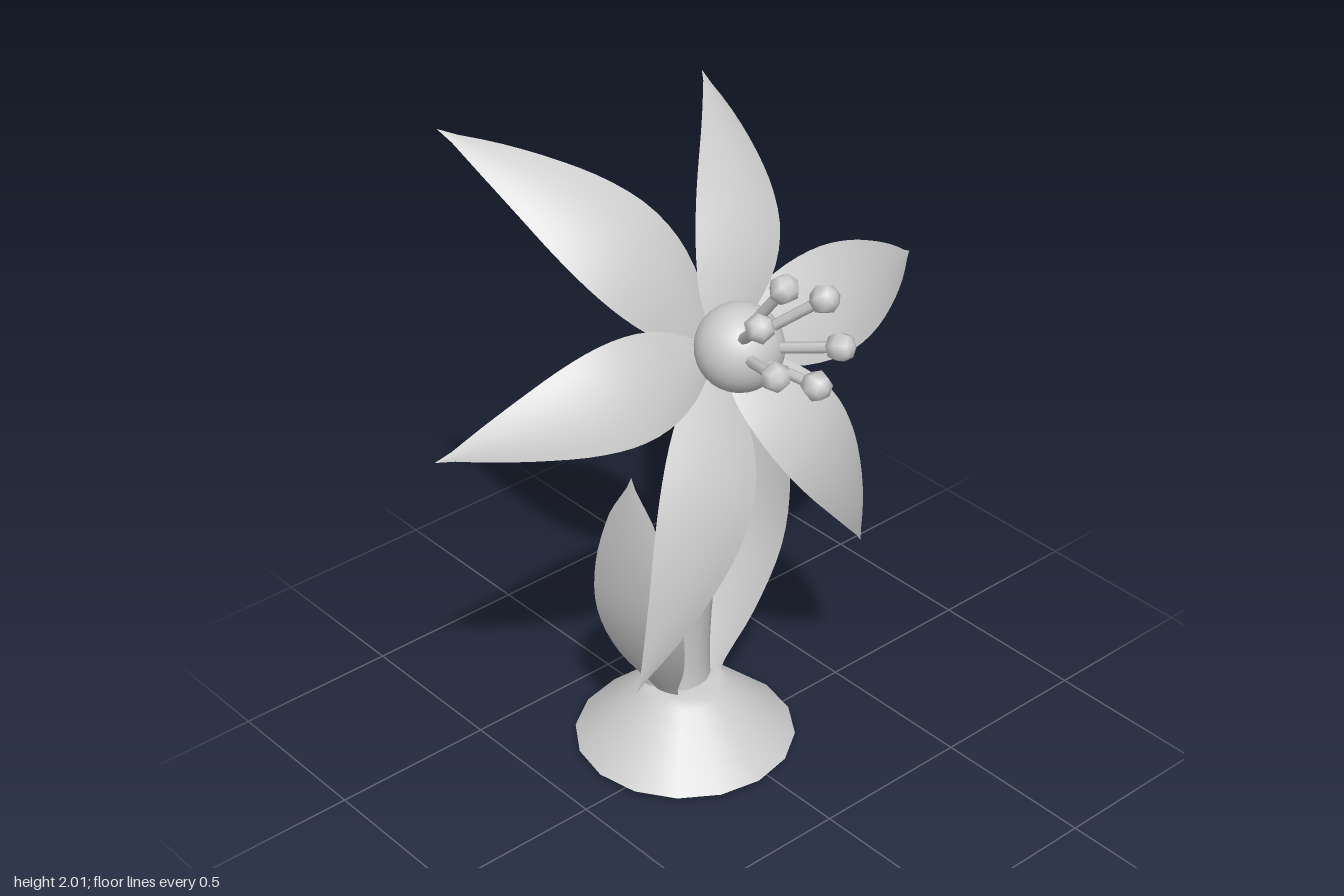
import * as THREE from 'three';

const V = (x, y, z) => new THREE.Vector3(x, y, z);

// Curved blade: mid-line points, half-widths along it, direction of its width, and how far the edges fold
function blade(mid, halfWidths, across, fold, rows = 20, cols = 8) {
  const path = new THREE.CatmullRomCurve3(mid);
  const width = new THREE.SplineCurve(halfWidths.map((w, i) => new THREE.Vector2(i, w)));
  const pos = [], idx = [];
  for (let i = 0; i <= rows; i++) {
    const t = i / rows, c = path.getPoint(t), w = Math.max(0, width.getPoint(t).y);
    for (let j = 0; j <= cols; j++) {
      const s = (j / cols) * 2 - 1;
      const p = c.clone().addScaledVector(across, s * w)
        .addScaledVector(fold, s * s * w);
      pos.push(p.x, p.y, p.z);
      if (i < rows && j < cols) {
        const a = i * (cols + 1) + j, b = a + cols + 1;
        idx.push(a, b, a + 1, b, b + 1, a + 1);
      }
    }
  }
  const g = new THREE.BufferGeometry();
  g.setAttribute('position', new THREE.Float32BufferAttribute(pos, 3));
  g.setIndex(idx);
  g.computeVertexNormals();
  return g;
}

export function createModel() {
  const root = new THREE.Group();
  root.name = 'flower';
  const grey = new THREE.MeshStandardMaterial({ color: 0xcccccc, side: THREE.DoubleSide });
  grey.name = 'plain grey';
  const add = (parent, name, geometry) => {
    const m = new THREE.Mesh(geometry, grey);
    m.name = name;
    parent.add(m);
    return m;
  };

  // Base mound, with a separate flat underside
  const moundProfile = [[0.33, 0.027], [0.265, 0.086], [0.195, 0.15], [0.135, 0.2], [0.107, 0.221], [0, 0.223]]
    .map(([r, y]) => new THREE.Vector2(r, y));
  add(root, 'baseMound', new THREE.LatheGeometry(moundProfile, 16)).position.set(-0.0715, 0, 0.056);
  const under = add(root, 'baseUnderside', new THREE.CircleGeometry(0.33, 16));
  under.rotation.x = Math.PI / 2;
  under.position.set(-0.0715, 0.027, 0.056);

  // Tapering curved stem with end caps
  const stemPath = new THREE.CatmullRomCurve3([
    V(-0.075, 0.025, 0.055), V(-0.113, 0.2, 0.055), V(-0.105, 0.42, 0.055), V(-0.058, 0.7, 0.055),
    V(0.035, 1.0, 0.055), V(0.06, 1.2, 0.055), V(0.056, 1.365, 0.055)]);
  const stemRadius = (t) => 0.108 - 0.021 * Math.min(1, t * 1.3);
  const rings = 28, sides = 16;
  const stem = new THREE.TubeGeometry(stemPath, rings, 1, sides);
  const p = stem.attributes.position, v = V(0, 0, 0);
  for (let i = 0; i < p.count; i++) {
    const t = Math.floor(i / (sides + 1)) / rings, c = stemPath.getPointAt(t);
    v.fromBufferAttribute(p, i).sub(c).multiplyScalar(stemRadius(t)).add(c);
    p.setXYZ(i, v.x, v.y, v.z);
  }
  add(root, 'stem', stem);
  for (const t of [0, 1]) {
    const cap = add(root, t ? 'stemTopCap' : 'stemBottomCap', new THREE.CircleGeometry(stemRadius(t), sides));
    const dir = stemPath.getTangentAt(t).multiplyScalar(t ? 1 : -1);
    cap.quaternion.setFromUnitVectors(V(0, 0, 1), dir);
    cap.position.copy(stemPath.getPointAt(t));
  }

  // Two leaves rising from the mound
  const leafWidths = [0.03, 0.105, 0.138, 0.122, 0.068, 0];
  const across = (yaw) => V(Math.cos(yaw), 0, -Math.sin(yaw));
  add(root, 'frontLeaf', blade([
    V(-0.05, 0.21, 0.14), V(-0.005, 0.4, 0.25), V(0.039, 0.6, 0.33),
    V(0.067, 0.8, 0.37), V(0.085, 1.0, 0.387), V(0.1, 1.15, 0.39),
  ], leafWidths, across(0.38), V(-0.05, 0, -0.14)));
  add(root, 'backLeaf', blade([
    V(-0.06, 0.21, -0.04), V(-0.105, 0.4, -0.155), V(-0.124, 0.6, -0.25),
    V(-0.127, 0.8, -0.297), V(-0.13, 1.0, -0.32), V(-0.13, 1.15, -0.325),
  ], leafWidths, across(0.16), V(0, 0, 0.14)));

  // Bloom: local z is the tilted flower axis, local y points up the flower face
  const bloom = new THREE.Group();
  bloom.name = 'bloom';
  bloom.quaternion.setFromRotationMatrix(new THREE.Matrix4().makeBasis(
    V(0, 0, -1), V(-0.484, 0.875, 0), V(0.875, 0.484, 0)));
  bloom.position.set(-0.12, 1.3, 0.06);
  root.add(bloom);

  // Six petals, alternately long and short, overlapping at the heart and curling back to the tip
  const petalDepth = [0.215, 0.25, 0.272, 0.268, 0.234, 0.176, 0.098, 0];
  const petalWidths = [0.03, 0.1, 0.14, 0.15, 0.133, 0.097, 0.051, 0];
  for (let k = 0; k < 6; k++) {
    const long = k % 2 === 0, length = long ? 0.935 : 0.823, rise = long ? 0 : 0.015;
    const mid = petalDepth.map((d, i) => V(0.02 + (length - 0.02) * i / 7, 0, d + rise));
    const widths = petalWidths.map((w) => w * (long ? 1.02 : 0.95));
    const petal = add(bloom, long ? 'longPetal' : 'shortPetal', blade(mid, widths, V(0, 1, 0), V(0, 0, -0.13)));
    petal.rotation.z = k * Math.PI / 3;
  }

  // Round centre
  add(bloom, 'flowerCentre', new THREE.SphereGeometry(0.124, 24, 16)).position.set(0, 0, 0.328);

  // Six stamens, each a thin rod with a coarse knob
  for (let k = 0; k < 6; k++) {
    const a = Math.PI / 2 + k * Math.PI / 3;
    const from = V(Math.cos(a) * 0.045, Math.sin(a) * 0.045, 0.39);
    const to = V(Math.cos(a) * 0.134, Math.sin(a) * 0.134, 0.598);
    const rod = add(bloom, 'stamenRod', new THREE.CylinderGeometry(0.016, 0.016, from.distanceTo(to), 6));
    rod.position.lerpVectors(from, to, 0.5);
    rod.quaternion.setFromUnitVectors(V(0, 1, 0), to.clone().sub(from).normalize());
    const knob = add(bloom, 'stamenKnob', new THREE.SphereGeometry(0.043, 6, 4));
    knob.position.copy(to);
    knob.quaternion.copy(rod.quaternion);
  }
  return root;
}
